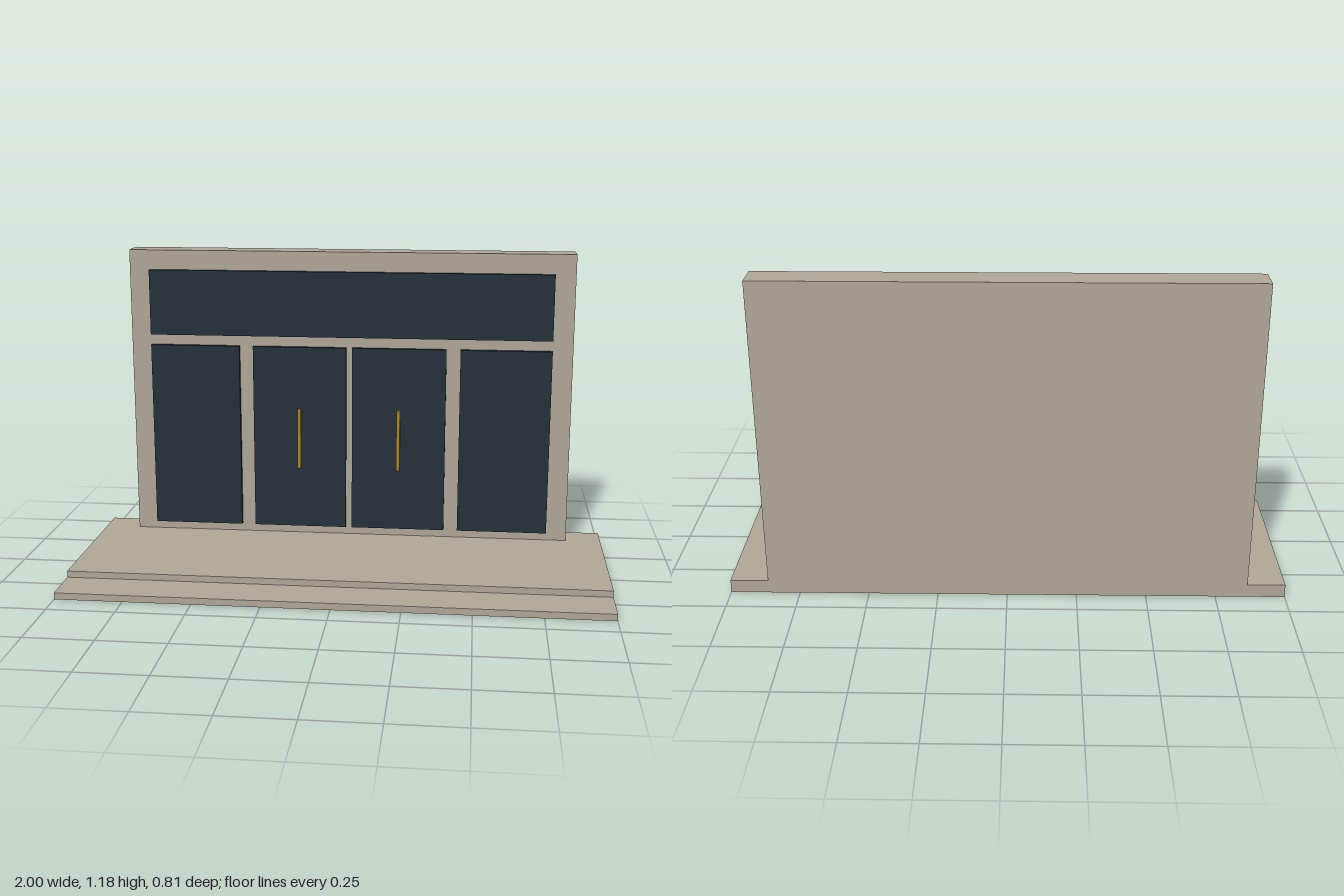
import * as THREE from 'three';

const stone = new THREE.MeshStandardMaterial({ color: 0xaea696, side: THREE.DoubleSide });
stone.name = 'stone';
const glass = new THREE.MeshStandardMaterial({ color: 0x25303a });
glass.name = 'darkGlass';
const brass = new THREE.MeshStandardMaterial({ color: 0xaf8420 });
brass.name = 'brass';

// Box given by its limits on each axis; faces listed in skip are left open
// (face order: +x, -x, +y, -y, +z, -z)
function box(name, material, [x0, x1], [y0, y1], [z0, z1], skip = []) {
  const geometry = new THREE.BoxGeometry(x1 - x0, y1 - y0, z1 - z0);
  geometry.translate((x0 + x1) / 2, (y0 + y1) / 2, (z0 + z1) / 2);
  if (skip.length) {
    const index = Array.from(geometry.index.array);
    geometry.setIndex(index.filter((_, i) => !skip.includes(Math.floor(i / 6))));
    geometry.clearGroups();
  }
  const mesh = new THREE.Mesh(geometry, material);
  mesh.name = name;
  return mesh;
}

export function createModel() {
  const model = new THREE.Group();
  model.name = 'entrance';

  // Landing and lower step, hollow underneath
  model.add(box('landing', stone, [-1, 1], [0, 0.049], [-0.404, 0.243], [3]));
  model.add(box('lowerStep', stone, [-1, 1], [0, 0.025], [0.243, 0.404], [3, 5]));

  // Wall standing on the back of the landing
  model.add(box('wall', stone, [-0.864, 0.864], [0.049, 1.184], [-0.404, -0.299], [3]));

  // Glazing proud of the wall
  const glassZ = [-0.299, -0.28];
  const paneY = [0.082, 0.812];
  model.add(box('transomWindow', glass, [-0.785, 0.785], [0.853, 1.108], glassZ));

  // Mirrored side windows, doors and pull handles
  for (const [side, s] of [['left', 1], ['right', -1]]) {
    const span = (a, b) => (s > 0 ? [a, b] : [-b, -a]);
    model.add(box(side + 'SideWindow', glass, span(0.433, 0.785), paneY, glassZ));
    model.add(box(side + 'Door', glass, span(0.012, 0.379), paneY, glassZ));
    model.add(box(side + 'Handle', brass, span(0.189, 0.202), [0.327, 0.568], [-0.28, -0.26]));
  }

  return model;
}
